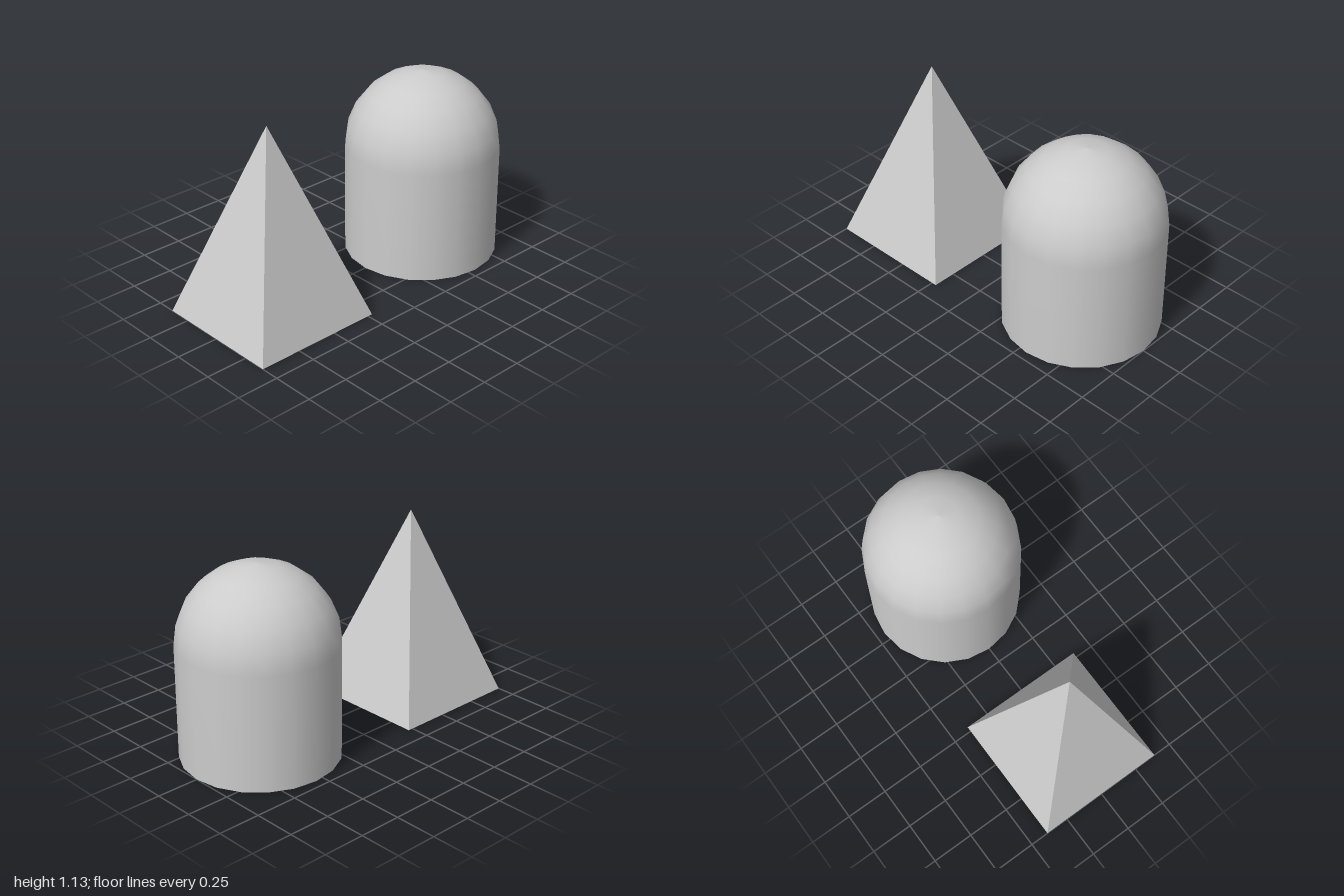
import * as THREE from 'three';

export function createModel() {
  const model = new THREE.Group();

  // Smooth domed cylinder: open underneath, straight wall with a hemispherical cap
  const radius = 0.45, wallHeight = 0.665, capSteps = 6;
  const profile = [new THREE.Vector2(radius, 0)];
  for (let i = 0; i <= capSteps; i++) {
    const a = (i / capSteps) * Math.PI / 2;
    const r = i === capSteps ? 0 : radius * Math.cos(a);
    profile.push(new THREE.Vector2(r, wallHeight + radius * Math.sin(a)));
  }
  const dome = new THREE.Mesh(
    new THREE.LatheGeometry(profile, 20),
    new THREE.MeshStandardMaterial({ color: 0xcccccc, side: THREE.DoubleSide })
  );
  dome.name = 'domedCylinder';
  dome.position.z = -0.55;
  model.add(dome);

  // Square pyramid with a closed base, sides parallel to the axes
  const halfBase = 0.39, height = 1.13;
  const pyramidGeometry = new THREE.ConeGeometry(halfBase * Math.SQRT2, height, 4);
  pyramidGeometry.rotateY(Math.PI / 4);
  pyramidGeometry.translate(0, height / 2, 0);
  const pyramid = new THREE.Mesh(
    pyramidGeometry,
    new THREE.MeshStandardMaterial({ color: 0xcccccc, flatShading: true })
  );
  pyramid.name = 'pyramid';
  pyramid.position.z = 0.61;
  model.add(pyramid);

  return model;
}
